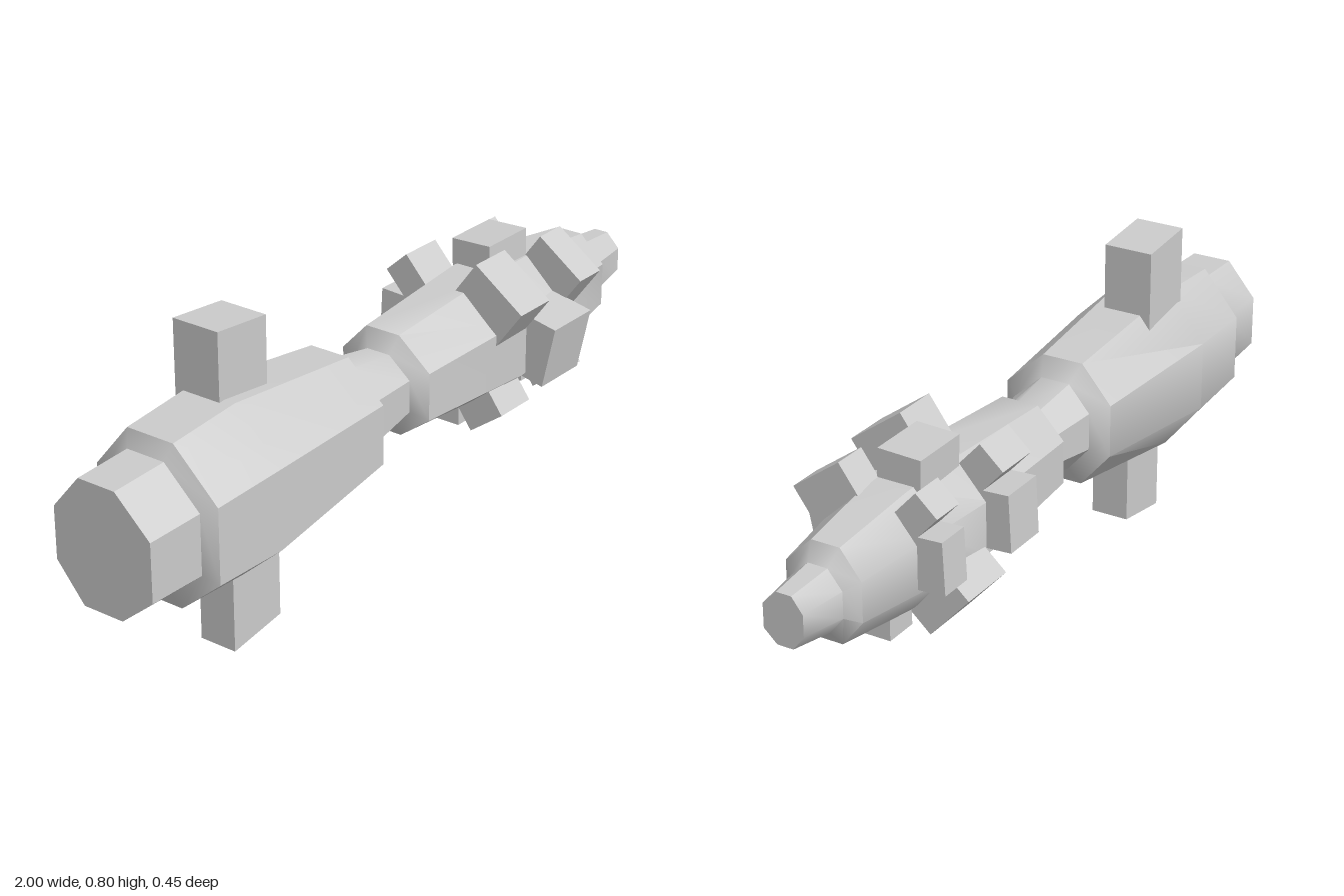
import * as THREE from 'three';
import { toCreasedNormals } from 'three/addons/utils/BufferGeometryUtils.js';

const material = new THREE.MeshStandardMaterial({ color: 0xcccccc });

// Eight-sided section as fractions of the half height and half depth: [y, z]
const SECTION = [
  [1, 0.3], [1, -0.45], [0.42, -1], [-0.42, -1],
  [-1, -0.45], [-1, 0.35], [-0.52, 1], [0.42, 1],
];

// Hull stations: [x, bottom y, top y, back z, front z]
const STATIONS = [
  [-1, 0.255, 0.57, -0.13, 0.15],
  [-0.84, 0.25, 0.575, -0.135, 0.15],
  [-0.82, 0.208, 0.615, -0.17, 0.185],
  [-0.61, 0.198, 0.63, -0.18, 0.186],
  [-0.19, 0.257, 0.585, -0.145, 0.15],
  [-0.155, 0.31, 0.54, -0.105, 0.105],
  [-0.005, 0.34, 0.517, -0.088, 0.088],
  [0.025, 0.295, 0.56, -0.138, 0.125],
  [0.4, 0.268, 0.59, -0.16, 0.14],
  [0.6, 0.283, 0.585, -0.145, 0.12],
  [0.845, 0.315, 0.555, -0.115, 0.085],
  [0.875, 0.355, 0.515, -0.085, 0.052],
  [1, 0.375, 0.505, -0.07, 0.035],
];

function buildHull() {
  const points = [], index = [], n = SECTION.length;
  for (const [x, y0, y1, z0, z1] of STATIONS) {
    for (const [fy, fz] of SECTION) {
      points.push(x, (y0 + y1) / 2 + fy * (y1 - y0) / 2, (z0 + z1) / 2 + fz * (z1 - z0) / 2);
    }
  }
  for (let s = 0; s < STATIONS.length - 1; s++) {
    for (let i = 0; i < n; i++) {
      const a = s * n + i, b = s * n + (i + 1) % n;
      index.push(a, a + n, b, b, a + n, b + n);
    }
  }
  // End caps
  const last = (STATIONS.length - 1) * n;
  for (let i = 1; i < n - 1; i++) {
    index.push(0, i, i + 1, last, last + i + 1, last + i);
  }
  // Section runs top, back, bottom, front: flip so faces point outwards
  const geometry = new THREE.BufferGeometry();
  geometry.setAttribute('position', new THREE.Float32BufferAttribute(points, 3));
  geometry.setIndex(orientOutward(points, index));
  return toCreasedNormals(geometry, 0.7);
}

// Reverses the winding when the closed surface has a negative volume
function orientOutward(points, index) {
  const v = (i) => new THREE.Vector3().fromArray(points, i * 3);
  let volume = 0;
  for (let i = 0; i < index.length; i += 3) {
    volume += v(index[i]).dot(v(index[i + 1]).cross(v(index[i + 2])));
  }
  return volume < 0 ? index.reverse() : index;
}

// Blocks around the nose: [tip z, tip y, width, outward angle from +z in degrees]
const OUTER_BLOCKS = [
  [0.13, 0.602, 0.155, 54],
  [-0.163, 0.6, 0.075, 132],
  [-0.206, 0.455, 0.132, 177],
  [-0.02, 0.23, 0.08, 270],
  [0.1, 0.257, 0.105, 306],
];
const MIDDLE_BLOCKS = [
  [-0.036, 0.657, 0.115, 92],
  [0.207, 0.403, 0.168, -12],
  [-0.163, 0.277, 0.155, 222],
];

function blockRow(name, blocks, x0, x1, lift, widen) {
  const row = new THREE.Group();
  row.name = name;
  const depth = 0.13;
  for (const [z, y, width, degrees] of blocks) {
    const angle = THREE.MathUtils.degToRad(degrees);
    const inset = lift - depth / 2;
    const block = new THREE.Mesh(new THREE.BoxGeometry(x1 - x0, width * widen, depth), material);
    block.name = 'noseBlock';
    block.position.set((x0 + x1) / 2, y + Math.sin(angle) * inset, z + Math.cos(angle) * inset);
    block.rotation.x = -angle;
    row.add(block);
  }
  return row;
}

// Upright fin whose outer end slopes along x
function fin(name, x, z, width, depth, inner, outerLeft, outerRight) {
  const geometry = new THREE.BoxGeometry(width, 1, depth);
  const p = geometry.attributes.position;
  const up = outerLeft > inner;
  for (let i = 0; i < p.count; i++) {
    const isOuter = (p.getY(i) > 0) === up;
    p.setY(i, isOuter ? (p.getX(i) < 0 ? outerLeft : outerRight) : inner);
  }
  geometry.computeVertexNormals();
  const mesh = new THREE.Mesh(geometry, material);
  mesh.name = name;
  mesh.position.set(x, 0, z);
  return mesh;
}

export function createModel() {
  const model = new THREE.Group();
  model.name = 'segmentedCraft';

  const hull = new THREE.Mesh(buildHull(), material);
  hull.name = 'hull';
  model.add(hull);

  model.add(
    blockRow('rearBlocks', OUTER_BLOCKS, 0.288, 0.41, 0.016, 1.1),
    blockRow('middleBlocks', MIDDLE_BLOCKS, 0.415, 0.575, 0, 1),
    blockRow('frontBlocks', OUTER_BLOCKS, 0.572, 0.662, 0, 1),
  );

  model.add(
    fin('upperFin', -0.545, -0.037, 0.165, 0.13, 0.5, 0.8, 0.785),
    fin('lowerFin', -0.548, 0.005, 0.165, 0.102, 0.35, 0, 0.025),
  );
  return model;
}
